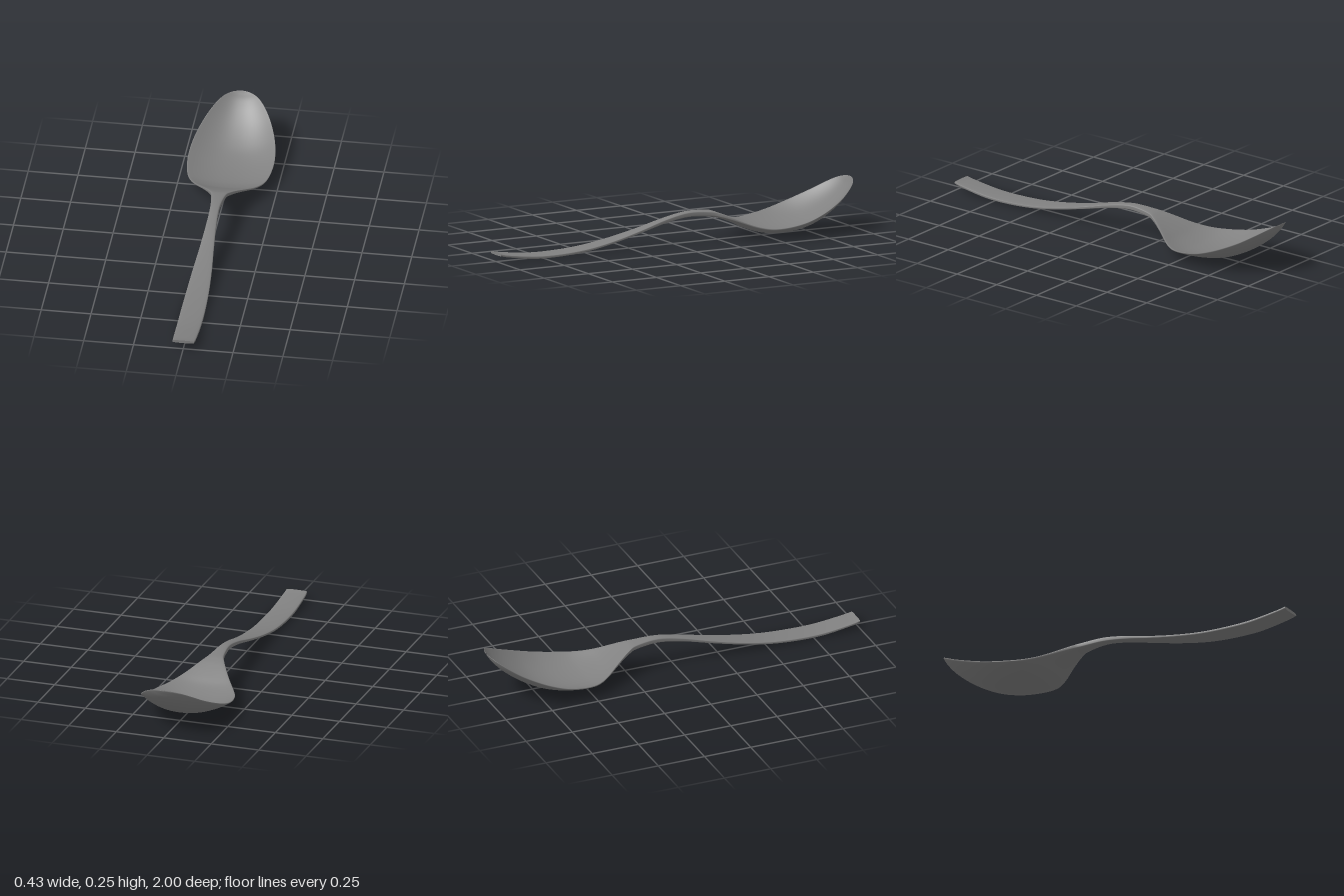
import * as THREE from 'three';

// Stations along the spoon: [z, half width, rim height, centre height, thickness]
const STATIONS = [
  [1, .054, .048, .048, .015], [.95, .057, .038, .038, .016], [.8, .06, .021, .021, .019],
  [.65, .06, .02, .02, .018], [.5, .056, .031, .031, .017], [.35, .048, .056, .056, .016],
  [.2, .036, .091, .091, .018], [.05, .026, .132, .132, .023], [-.08, .024, .156, .156, .028],
  [-.2, .037, .152, .15, .03], [-.25, .057, .14, .136, .027], [-.3, .085, .12, .113, .022],
  [-.35, .116, .098, .087, .018], [-.4, .15, .079, .06, .016], [-.45, .18, .068, .041, .015],
  [-.5, .2, .066, .029, .013], [-.57, .213, .073, .024, .012], [-.65, .217, .089, .029, .012],
  [-.73, .208, .115, .047, .012], [-.8, .19, .143, .077, .011], [-.87, .162, .176, .119, .01],
  [-.93, .126, .211, .166, .009], [-.97, .089, .236, .208, .008], [-.99, .053, .248, .237, .007],
  [-.998, .024, .252, .25, .006], [-1, .001, .253, .253, .006],
];
const STEPS = (STATIONS.length - 1) * 5;
const SIDES = 56;

// Smooth curves through the stations, sharing one parameter
const curve = (pick) => new THREE.CatmullRomCurve3(
  STATIONS.map((s) => new THREE.Vector3(...pick(s))), false, 'catmullrom', 0.5);
const outline = curve(([z, w, rim]) => [w, rim, z]);
const dish = curve(([, , , centre, thick]) => [centre, thick, 0]);

// Dished cross-section with rounded edges, counterclockwise seen from the front
function section(t) {
  const { x: w, y: rim, z } = outline.getPoint(t);
  const { x: centre, y: thick } = dish.getPoint(t);
  return Array.from({ length: SIDES }, (_, j) => {
    const a = (j / SIDES) * Math.PI * 2;
    const u = Math.cos(a), s = Math.sin(a);
    const v = Math.sign(s) * Math.abs(s) ** 0.35;
    const y = centre + (rim - centre) * Math.abs(u) ** 2.25 + (thick / 2) * (v - 1);
    return [w * u, y, z];
  });
}

function loft() {
  const positions = [], index = [];
  for (let i = 0; i <= STEPS; i++) positions.push(...section(i / STEPS).flat());
  for (let i = 0; i < STEPS; i++) {
    for (let j = 0; j < SIDES; j++) {
      const a = i * SIDES + j, b = i * SIDES + (j + 1) % SIDES;
      index.push(a, a + SIDES, b, b, a + SIDES, b + SIDES);
    }
  }
  // Flat handle end with its own vertices, so the edge stays crisp
  const start = positions.length / 3;
  positions.push(...section(0).flat());
  for (let j = 1; j < SIDES - 1; j++) index.push(start, start + j, start + j + 1);

  const geometry = new THREE.BufferGeometry();
  geometry.setAttribute('position', new THREE.Float32BufferAttribute(positions, 3));
  geometry.setIndex(index);
  geometry.computeVertexNormals();
  return geometry;
}

export function createModel() {
  const group = new THREE.Group();
  group.name = 'spoon';
  const body = new THREE.Mesh(loft(), new THREE.MeshStandardMaterial({ color: 0x808080 }));
  body.name = 'bowlAndHandle';
  group.add(body);
  return group;
}
